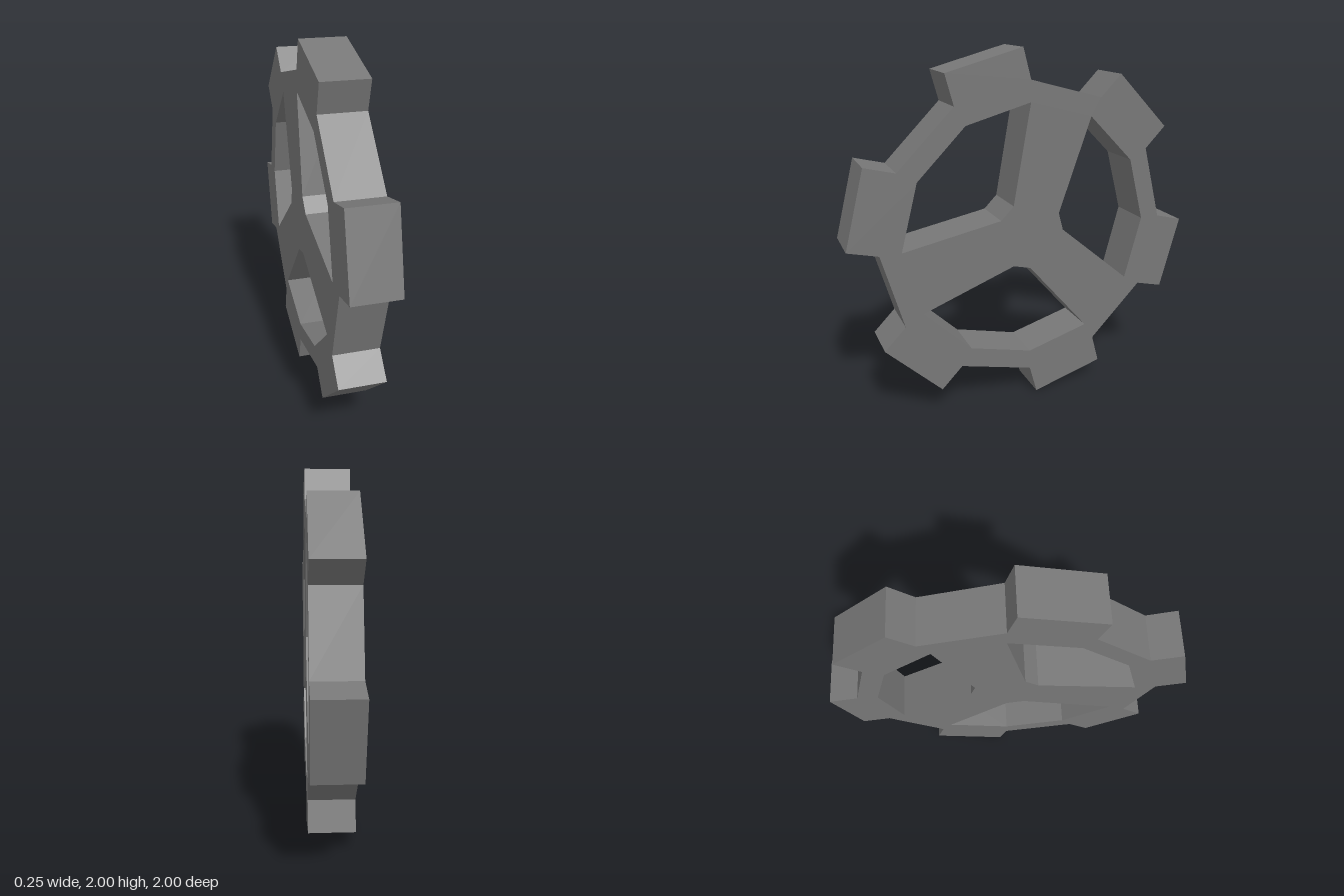
import * as THREE from 'three';

const RIM = 0.837, INNER = 0.722, HUB = 0.2, TOOTH = 0.169, WIDTH = 0.25;

// point at a radius and an angle in degrees
const polar = (r, deg) => {
  const a = THREE.MathUtils.degToRad(deg);
  return new THREE.Vector2(r * Math.cos(a), r * Math.sin(a));
};

export function createModel() {
  const group = new THREE.Group();
  group.name = 'cogWheel';

  // twelve-sided rim with a square tooth on every second side
  const outline = [];
  for (let deg = 30; deg < 390; deg += 60) {
    const start = polar(RIM, deg), end = polar(RIM, deg + 30);
    const out = polar(TOOTH, deg + 15);
    outline.push(start, start.clone().add(out), end.clone().add(out), end);
  }
  const shape = new THREE.Shape(outline);

  // three windows that leave the hub and three tapering spokes
  for (let k = 0; k < 3; k++) {
    const turn = k * 120;
    const corners = [
      ...[60, 30, 0, -30].map(d => polar(INNER, d + turn)),
      ...[0, 30].map(d => polar(HUB, d + turn)),
    ];
    shape.holes.push(new THREE.Path(corners));
  }

  const geometry = new THREE.ExtrudeGeometry(shape, { depth: WIDTH, bevelEnabled: false });
  geometry.translate(0, 0, -WIDTH / 2);
  geometry.rotateY(Math.PI / 2); // axle along x
  geometry.translate(0, 1, 0);

  // dark grey wheel
  const wheel = new THREE.Mesh(
    geometry,
    new THREE.MeshStandardMaterial({ color: 0x777777, flatShading: true })
  );
  wheel.name = 'toothedWheel';
  group.add(wheel);
  return group;
}
